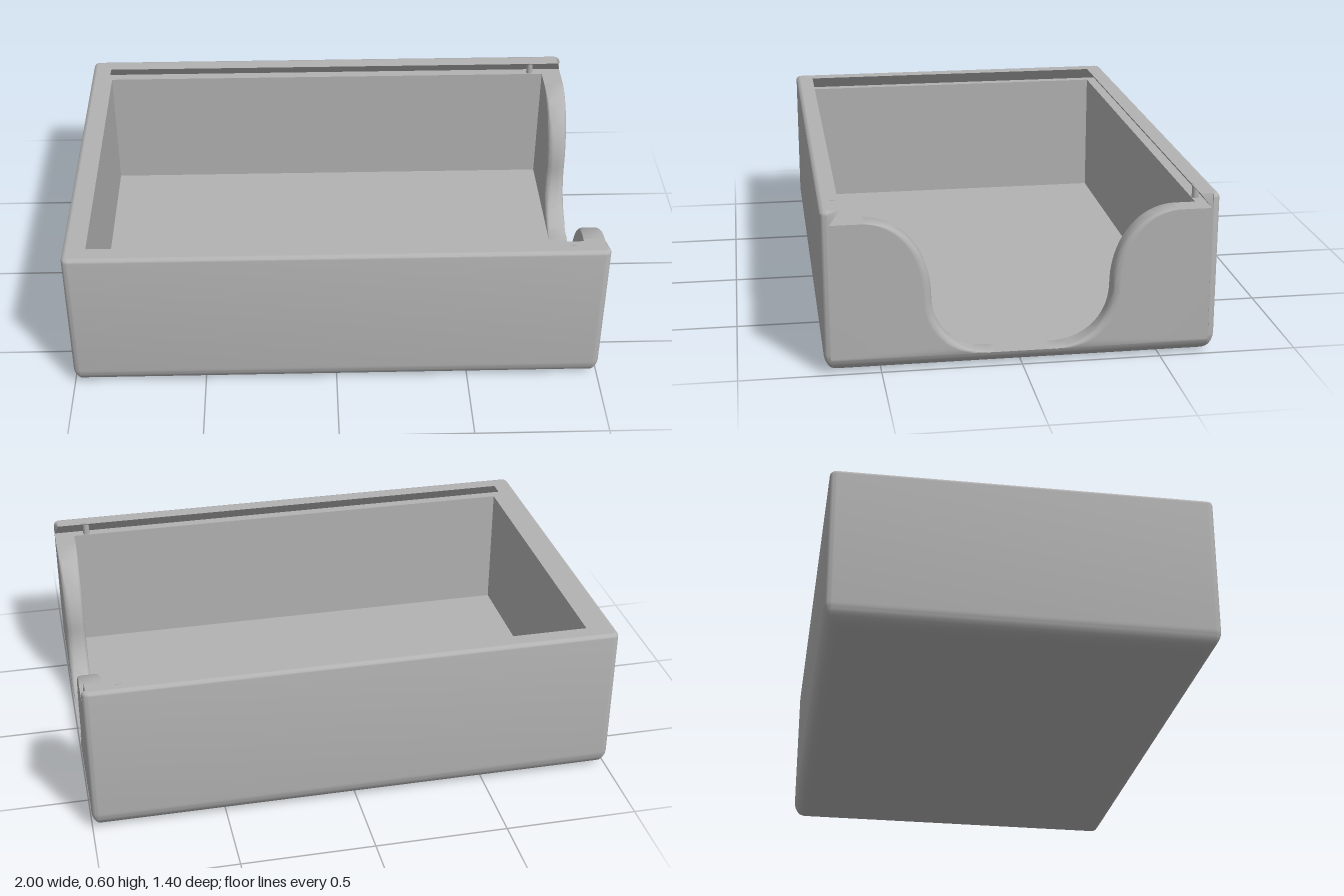
import * as THREE from 'three';
import { toCreasedNormals } from 'three/addons/utils/BufferGeometryUtils.js';

const HX = 1, HZ = 0.7, H = 0.6;              // half sizes and height
const R_BOTTOM = 0.075, R_TOP = 0.015, R_CORNER = 0.025;
const FLOOR = 0.05, LEDGE = 0.55;             // cavity floor, groove floor
const CAV_BACK = -0.925, CAV_FRONT = 0.92, CAV_Z = 0.63;
const UNDERCUT = 0.04;                        // dovetail depth

// How far the outside is drawn in at a given height by the edge rounding
function inset(y) {
  const arc = (r, d) => r - Math.sqrt(Math.max(0, r * r - (r - d) ** 2));
  if (y < R_BOTTOM) return arc(R_BOTTOM, y);
  if (y > H - R_TOP) return arc(R_TOP, H - y);
  return 0;
}

// Open outline at a height, from the right end of the open wall round to the left end
function outline(y) {
  const d = inset(y), r = Math.max(R_CORNER - d, 0.001);
  const cx = HX - d - r, cz = HZ - d - r, pts = [];
  [[1, -1], [-1, -1], [-1, 1], [1, 1]].forEach(([sx, sz], q) => {
    for (let k = 0; k <= 6; k++) {
      const a = (q + k / 6) * Math.PI / 2;
      pts.push([sx * cx + r * Math.cos(a), y, sz * cz - r * Math.sin(a)]);
    }
  });
  return pts;
}

// Surface through rows of points
function grid(rows, flip = false) {
  const pos = [];
  for (let i = 0; i + 1 < rows.length; i++) {
    for (let j = 0; j + 1 < rows[i].length; j++) {
      const a = rows[i][j], b = rows[i][j + 1], c = rows[i + 1][j + 1], d = rows[i + 1][j];
      const quad = flip ? [a, c, b, a, d, c] : [a, b, c, a, c, d];
      quad.forEach((p) => pos.push(...p));
    }
  }
  const g = new THREE.BufferGeometry();
  g.setAttribute('position', new THREE.Float32BufferAttribute(pos, 3));
  return toCreasedNormals(g, 0.6);
}

// Filled polygon placed in space by a rule
function panel(points, place, flip = false) {
  const g = new THREE.ShapeGeometry(new THREE.Shape(points.map((p) => new THREE.Vector2(...p))));
  const p = g.attributes.position;
  for (let i = 0; i < p.count; i++) p.setXYZ(i, ...place(p.getX(i), p.getY(i)));
  if (flip) g.setIndex(Array.from(g.index.array).reverse());
  g.computeVertexNormals();
  return g;
}

export function createModel() {
  const model = new THREE.Group();
  model.name = 'slidingLidBox';
  const grey = new THREE.MeshStandardMaterial({ color: 0xb2b2b2, side: THREE.DoubleSide });
  grey.name = 'grey';
  const add = (name, geometry) => {
    const mesh = new THREE.Mesh(geometry, grey);
    mesh.name = name;
    model.add(mesh);
    return mesh;
  };

  // Outer shell with rounded edges
  const low = [], high = [], split = Math.acos(1 - FLOOR / R_BOTTOM);
  for (let k = 0; k <= 8; k++) low.push(R_BOTTOM * (1 - Math.cos(split * k / 8)));
  for (let k = 0; k <= 3; k++) {
    high.push(R_BOTTOM * (1 - Math.cos(split + (Math.PI / 2 - split) * k / 3)));
  }
  for (let k = 0; k <= 4; k++) high.push(H - R_TOP + R_TOP * Math.sin(Math.PI / 2 * k / 4));
  add('outerWalls', grid([...low, ...high.slice(1)].map(outline)));
  add('frontLowerEdge', grid(low.map((y) => {
    const o = outline(y);
    return [o[o.length - 1], o[0]];
  })));
  add('underside', panel(outline(0).map((p) => [p[0], p[2]]), (x, z) => [x, 0, z]));

  // Rim around three sides
  const topX = HX - R_TOP;
  const rim = outline(H).map((p) => [p[0], p[2]]);
  rim.push([topX, CAV_Z], [CAV_BACK, CAV_Z], [CAV_BACK, -CAV_Z], [topX, -CAV_Z]);
  add('rim', panel(rim, (x, z) => [x, H, z], true));

  // Dovetail groove, its ledge and the cavity walls, each a U-shaped strip
  const u = (front, d, y) => [
    [front, y, CAV_Z + d], [CAV_BACK - d, y, CAV_Z + d],
    [CAV_BACK - d, y, -CAV_Z - d], [front, y, -CAV_Z - d],
  ];
  add('grooveWall', grid([u(HX, UNDERCUT, LEDGE), u(topX, 0, H)]));
  add('grooveLedge', grid([u(HX, 0, LEDGE), u(HX, UNDERCUT, LEDGE)], true));
  add('cavityWalls', grid([u(CAV_FRONT, 0, FLOOR), u(CAV_FRONT, 0, LEDGE)]));

  // Floor, running out through the finger opening
  const sill = 0.1, sillX = HX - inset(FLOOR);
  add('floor', panel([
    [CAV_BACK, -CAV_Z], [CAV_FRONT, -CAV_Z], [CAV_FRONT, -sill], [sillX, -sill],
    [sillX, sill], [CAV_FRONT, sill], [CAV_FRONT, CAV_Z], [CAV_BACK, CAV_Z],
  ], (x, z) => [x, FLOOR, z], true));

  // S-shaped edge of the finger opening as (z, y), with its offset into the wall
  const v = (x, y) => new THREE.Vector2(x, y);
  const curve = new THREE.CurvePath();
  curve.add(new THREE.CubicBezierCurve(v(0.55, 0.55), v(0.41, 0.55), v(0.32, 0.42), v(0.32, 0.27)));
  curve.add(new THREE.CubicBezierCurve(v(0.32, 0.14), v(0.32, 0.14), v(0.23, 0.05), v(sill, FLOOR)));
  curve.curves[1].v0.set(0.32, 0.27);
  const edge = [], N = 20;
  curve.curves.forEach((c, part) => {
    for (let k = part; k <= N; k++) {
      const p = c.getPoint(k / N), t = c.getTangent(k / N);
      const f = 0.028 * Math.sin(Math.PI * (part + k / N) / 2);
      edge.push({ p, n: [-t.y, t.x], f });
    }
  });
  const shifted = (e, d) => [e.p.x + e.n[0] * d, e.p.y + e.n[1] * d];

  for (const s of [1, -1]) {
    const side = s > 0 ? 'left' : 'right';
    const cut = edge.map((e) => shifted(e, e.f));

    // Outside and inside faces of the open wall
    const endZ = HZ - R_CORNER;
    const outer = [
      ...high.map((y) => [endZ, y]),
      [CAV_Z, H], [CAV_Z + UNDERCUT, LEDGE], ...cut,
    ].map(([z, y]) => [z * s, y]);
    add(side + 'OpenWallOutside', panel(outer, (z, y) => [HX - inset(y), y, z], true));
    const inner = [[CAV_Z, FLOOR], [CAV_Z, LEDGE], ...cut].map(([z, y]) => [z * s, y]);
    add(side + 'OpenWallInside', panel(inner, (z, y) => [CAV_FRONT, y, z]));

    // Rounded edge of the finger opening
    add(side + 'OpeningEdge', grid(edge.map((e) => {
      const row = [], M = 5;
      for (let k = 0; k <= M; k++) {
        const a = Math.PI / 2 * k / M, [z, y] = shifted(e, e.f * (1 - Math.sin(a)));
        row.push([HX - inset(y) - e.f * (1 - Math.cos(a)), y, z * s]);
      }
      for (let k = M; k >= 0; k--) {
        const a = Math.PI / 2 * k / M, [z, y] = shifted(e, e.f * (1 - Math.sin(a)));
        row.push([CAV_FRONT + e.f * (1 - Math.cos(a)), y, z * s]);
      }
      return row;
    }), s > 0));

    // Top of the open wall beside the opening
    const shoulder = [[CAV_FRONT, 0.55], [HX, 0.55], [HX, CAV_Z], [CAV_FRONT, CAV_Z]];
    add(side + 'Shoulder', panel(shoulder.map(([x, z]) => [x, z * s]), (x, z) => [x, LEDGE, z], true));

    // Small stud that holds the lid shut
    const stud = add(side + 'LidCatch', new THREE.CylinderGeometry(0.013, 0.013, 0.051, 20));
    stud.position.set(0.868, 0.5755, 0.645 * s);
  }
  return model;
}
